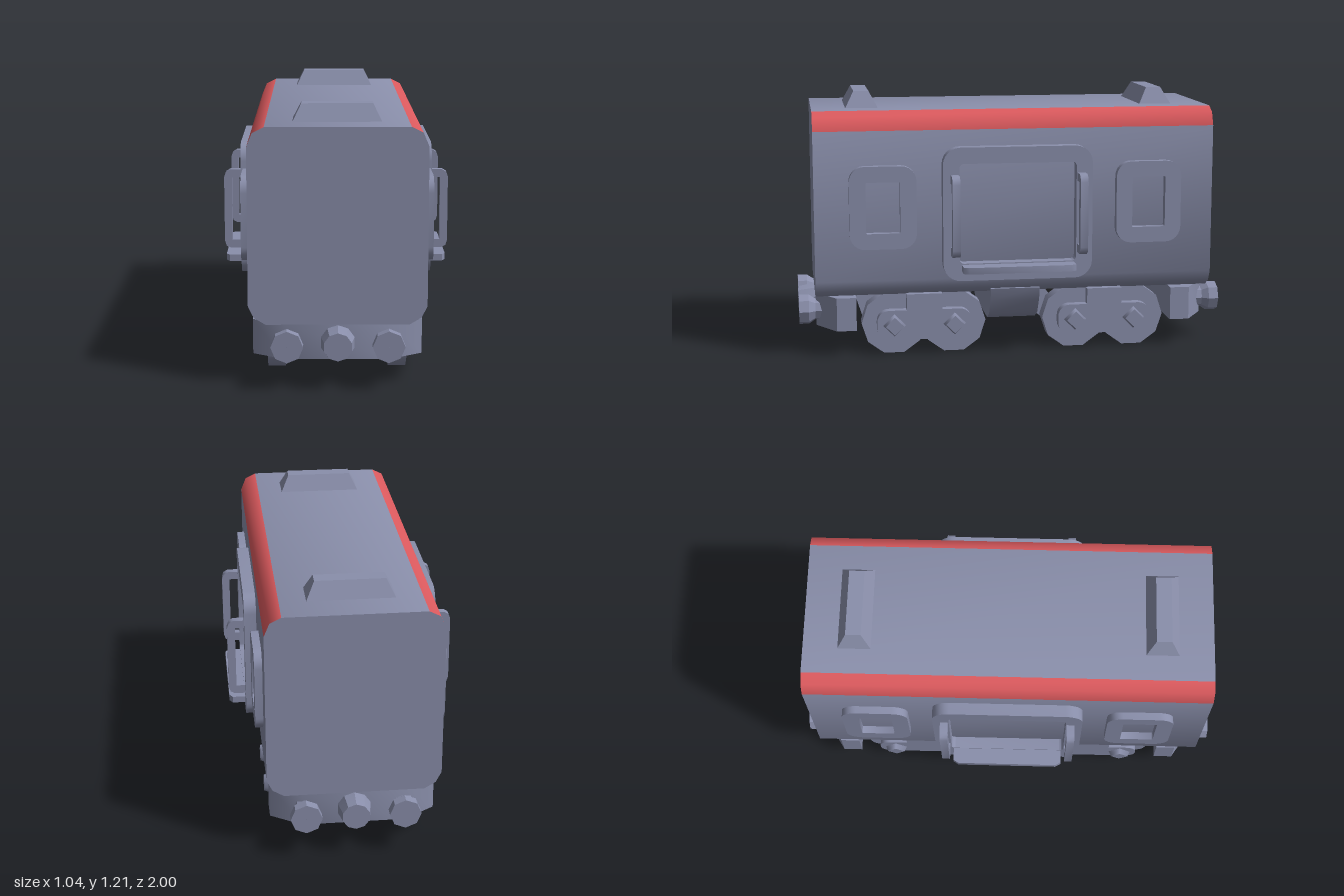
import * as THREE from 'three';
import { toCreasedNormals } from 'three/addons/utils/BufferGeometryUtils.js';

const grey = new THREE.MeshStandardMaterial({ color: 0x8a8fab });
grey.name = 'slate grey paint';
const red = new THREE.MeshStandardMaterial({ color: 0xdc5a5e });
red.name = 'red trim';
const dark = new THREE.MeshStandardMaterial({ color: 0x3c3c3e });
dark.name = 'dark metal';

function add(parent, name, geometry, material = grey) {
  const mesh = new THREE.Mesh(geometry, material);
  mesh.name = name;
  parent.add(mesh);
  return mesh;
}

const polygon = (pts) => new THREE.Shape(pts.map(([x, y]) => new THREE.Vector2(x, y)));

// Closed outline from its right half, listed from top to bottom
const mirrored = (half) => polygon([...half, ...half.map(([x, y]) => [-x, y]).reverse()].reverse());

function roundedRect(w, h, r, cy = 0, Type = THREE.Shape) {
  const s = new Type();
  const a = w / 2 - r, b = h / 2 - r, q = Math.PI / 2;
  s.absarc(a, cy + b, r, 0, q);
  s.absarc(-a, cy + b, r, q, 2 * q);
  s.absarc(-a, cy - b, r, 2 * q, 3 * q);
  s.absarc(a, cy - b, r, 3 * q, 4 * q);
  s.closePath();
  return s;
}

function extrude(shape, depth) {
  const g = new THREE.ExtrudeGeometry(shape, { depth, bevelEnabled: false, curveSegments: 3 });
  return toCreasedNormals(g, 0.85);
}

// Shape drawn in (z, y), extruded outwards along x from x0 to x1
const sidePlate = (shape, x0, x1, z = 0) =>
  extrude(shape, x1 - x0).rotateY(Math.PI / 2).translate(x0, 0, z);

function frame(w, h, r, iw, ih, ir, cy, icy) {
  const s = roundedRect(w, h, r, cy);
  s.holes.push(roundedRect(iw, ih, ir, icy, THREE.Path));
  return s;
}

// Cylinder or frustum along x
const axle = (rOut, rIn, x0, x1, y, z, sides) =>
  new THREE.CylinderGeometry(rOut, rIn, x1 - x0, sides).rotateZ(-Math.PI / 2).translate((x0 + x1) / 2, y, z);

// Body shell: the sloping top edges go into a second, red group
function bodyGeometry() {
  const half = [[0.31, 1.135], [0.36, 1.11], [0.385, 1.05], [0.385, 0.36], [0.36, 0.31], [0.31, 0.28]];
  const g = extrude(mirrored(half), 1.85).translate(0, 0, -0.925);
  const p = g.attributes.position;
  const main = [], trim = [];
  const t = new THREE.Triangle(), n = new THREE.Vector3();
  for (let i = 0; i < p.count; i += 3) {
    t.setFromAttributeAndIndices(p, i, i + 1, i + 2);
    t.getNormal(n);
    (n.y > 0.1 && n.y < 0.99 ? trim : main).push(i, i + 1, i + 2);
  }
  g.setIndex([...main, ...trim]);
  g.clearGroups();
  g.addGroup(0, main.length, 0);
  g.addGroup(main.length, trim.length, 1);
  return g;
}

// Roof vent: a box whose top is drawn in
function ventGeometry() {
  const g = new THREE.BoxGeometry(0.39, 0.08, 0.155).toNonIndexed();
  const p = g.attributes.position;
  for (let i = 0; i < p.count; i++) {
    if (p.getY(i) > 0) p.setXYZ(i, p.getX(i) * 0.795, p.getY(i), p.getZ(i) * 0.45);
  }
  g.computeVertexNormals();
  return g.translate(0, 1.17, 0.693);
}

// One long side, facing +x
function buildSide() {
  const side = new THREE.Group();
  add(side, 'doorFrame', sidePlate(frame(0.69, 0.615, 0.08, 0.54, 0.46, 0.02, 0.667, 0.67), 0.38, 0.44));

  // Step below the door, rounded at its outer corners
  const step = polygon([[0.42, -0.26], [0.5, -0.26], [0.515, -0.235], [0.515, 0.235], [0.5, 0.26], [0.42, 0.26]]);
  add(side, 'doorStep', extrude(step, 0.03).rotateX(Math.PI / 2).translate(0, 0.435, 0));

  // Grab handles
  const grip = polygon([
    [0.43, 0.48], [0.49, 0.48], [0.51, 0.49], [0.518, 0.515], [0.518, 0.815], [0.51, 0.838], [0.49, 0.85],
    [0.43, 0.85], [0.43, 0.812], [0.482, 0.812], [0.482, 0.52], [0.43, 0.52],
  ]);
  for (const s of [-1, 1]) {
    add(side, 'grabHandle', extrude(grip, 0.036).translate(0, 0, s * 0.292 - 0.018));
    add(side, 'windowFrame',
      sidePlate(frame(0.305, 0.38, 0.07, 0.155, 0.235, 0.005, 0.703, 0.703), 0.38, 0.42, s * 0.615));

    // Wheels with their frame and bolts
    const bogie = new THREE.Group();
    bogie.name = 'bogieSide';
    for (const z of [-0.14, 0.14]) {
      add(bogie, 'wheel', axle(0.15, 0.15, 0.23, 0.31, 0.143, z, 10));
      add(bogie, 'axleBolt', axle(0.042, 0.054, 0.35, 0.378, 0.14, z, 4));
    }
    add(bogie, 'axleFrame', sidePlate(roundedRect(0.44, 0.14, 0.055, 0.14), 0.3, 0.353));
    add(bogie, 'frameHanger', new THREE.BoxGeometry(0.05, 0.09, 0.165).translate(0.328, 0.24, 0));
    bogie.position.z = s * 0.425;
    side.add(bogie);
  }
  return side;
}

// One end, facing +z
function buildEnd() {
  const end = new THREE.Group();
  const plan = mirrored([[0.23, 0.92], [0.368, 0.83], [0.368, 0.74]]);
  // turned so the plan's y runs along z
  add(end, 'bufferBeam', extrude(plan, 0.155).rotateX(Math.PI / 2).translate(0, 0.28, 0));

  const knob = [[0.001, 0.88], [0.05, 0.88], [0.05, 0.925], [0.07, 0.955], [0.07, 1], [0.001, 1]];
  const hook = [[0.001, 0.9], [0.076, 0.9], [0.076, 0.925], [0.062, 1], [0.001, 1]];
  const lathe = (pts, sides) => toCreasedNormals(
    new THREE.LatheGeometry(pts.map(([r, y]) => new THREE.Vector2(r, y)), sides).rotateX(Math.PI / 2), 0.4);
  for (const x of [-0.218, 0.218]) add(end, 'buffer', lathe(knob, 8)).position.set(x, 0.2, 0);
  add(end, 'coupler', lathe(hook, 10)).position.y = 0.2;

  add(end, 'roofVent', ventGeometry());
  add(end, 'underDrum', axle(0.22, 0.22, -0.232, 0.232, 0.278, 0.425, 24), dark);
  return end;
}

export function createModel() {
  const model = new THREE.Group();
  model.name = 'railwayCarriage';
  add(model, 'body', bodyGeometry(), [grey, red]);

  // Rounded tank between the wheel sets
  const tank = mirrored([[0.36, 0.3], [0.34, 0.24], [0.29, 0.165], [0.22, 0.13]]);
  add(model, 'underfloorTank', extrude(tank, 0.23).translate(0, 0, -0.115));

  for (const [name, build] of [['side', buildSide], ['end', buildEnd]]) {
    for (const turn of [0, Math.PI]) {
      const part = build();
      part.name = name;
      part.rotation.y = turn;
      model.add(part);
    }
  }
  return model;
}
